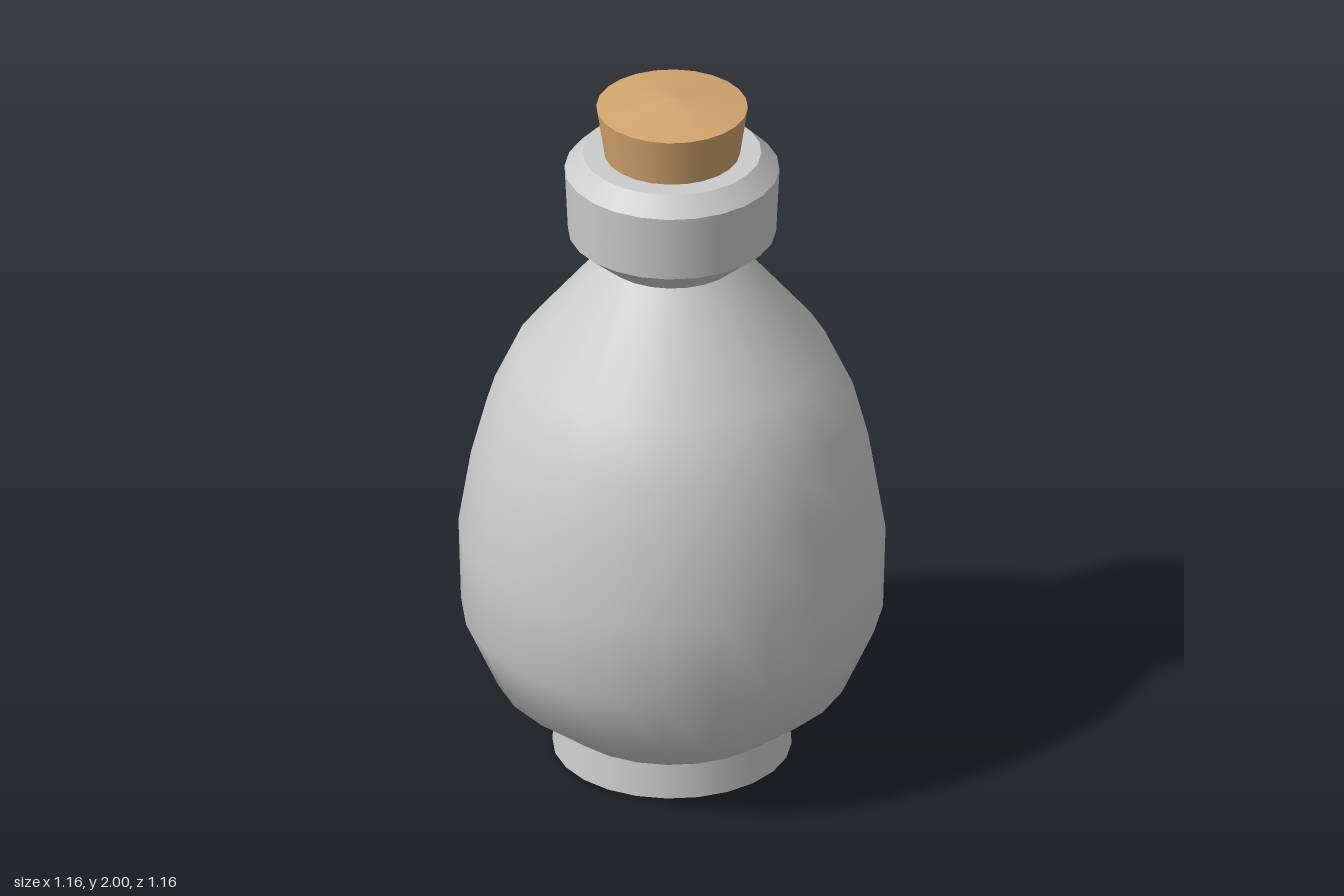
import * as THREE from 'three';

const SIDES = 24;

// Turns a [radius, height] profile, listed from bottom to top; shading is smooth within it.
function turned(name, profile, material) {
  const points = profile.map(([r, y]) => new THREE.Vector2(r, y));
  const mesh = new THREE.Mesh(new THREE.LatheGeometry(points, SIDES), material);
  mesh.name = name;
  return mesh;
}

// Each profile segment becomes its own band, so the edges between bands stay sharp.
function banded(name, profile, material) {
  const group = new THREE.Group();
  group.name = name;
  for (let i = 0; i < profile.length - 1; i++) {
    group.add(turned(`${name}Band${i + 1}`, [profile[i], profile[i + 1]], material));
  }
  return group;
}

export function createModel() {
  const model = new THREE.Group();
  model.name = 'corkedBottle';
  const glass = new THREE.MeshStandardMaterial({ color: 0xcccccc });
  const corkMaterial = new THREE.MeshStandardMaterial({ color: 0xd2a56d });

  // Foot with closed underside
  model.add(banded('foot', [[0, 0], [0.325, 0], [0.317, 0.1]], glass));

  // Smooth rounded belly tapering to the neck
  model.add(turned('belly', [
    [0.317, 0.1], [0.483, 0.23], [0.573, 0.43], [0.58, 0.675],
    [0.546, 0.885], [0.503, 1.05], [0.425, 1.22], [0.19, 1.51],
  ], glass));

  // Flared collar with chamfered lip
  model.add(banded('collar', [
    [0.19, 1.51], [0.283, 1.59], [0.292, 1.78], [0.243, 1.83], [0, 1.83],
  ], glass));

  // Tapered cork with a slightly domed top
  model.add(banded('cork', [[0.185, 1.83], [0.206, 1.97], [0, 2]], corkMaterial));

  return model;
}
